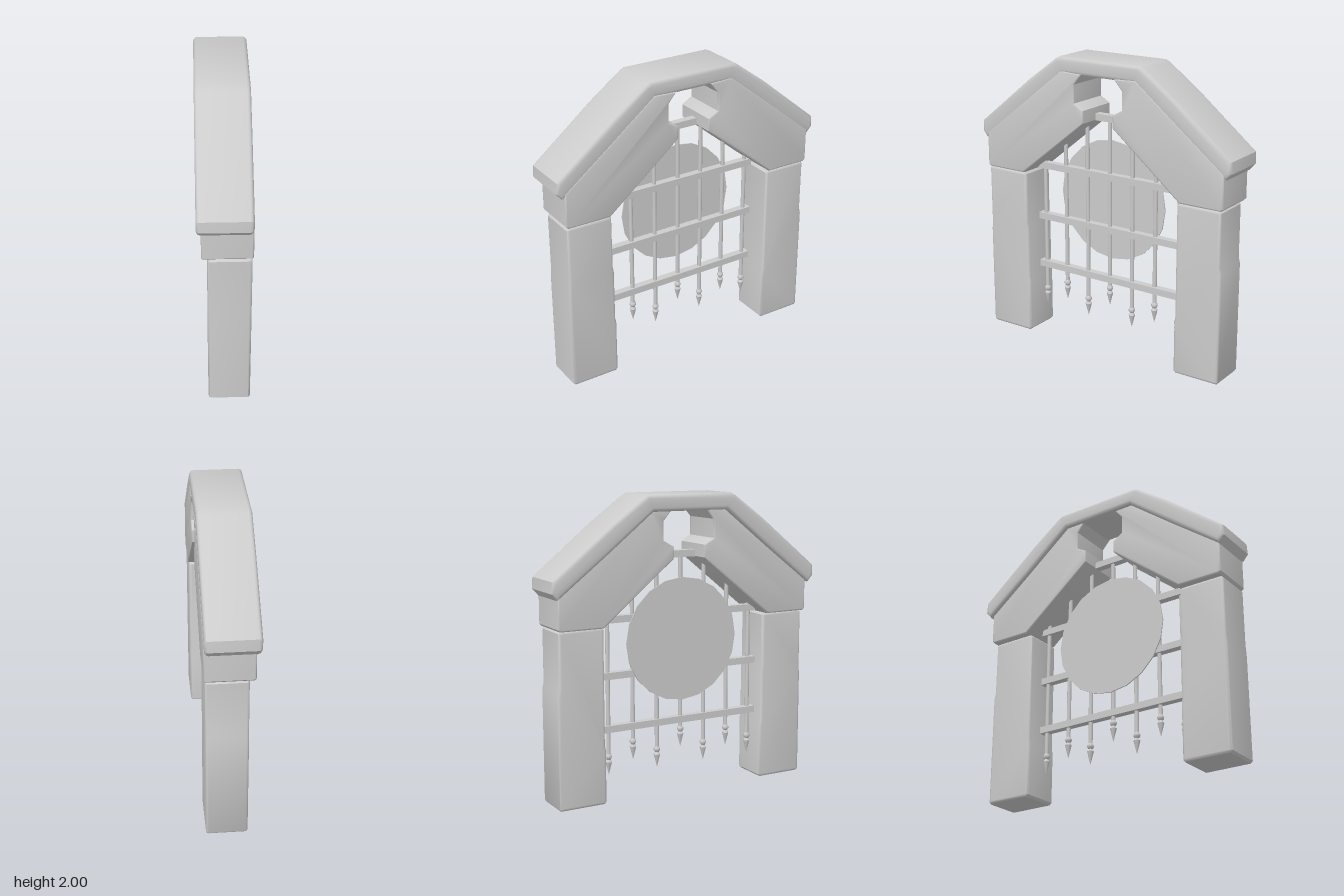
import * as THREE from 'three';
import { toCreasedNormals } from 'three/addons/utils/BufferGeometryUtils.js';

const stone = new THREE.MeshStandardMaterial({ color: 0xcccccc });
const metal = new THREE.MeshStandardMaterial({ color: 0xcccccc });

export function createModel() {
  const gate = new THREE.Group();
  gate.name = 'archGate';

  const add = (name, geometry, material, x = 0, y = 0, z = 0) => {
    const mesh = new THREE.Mesh(geometry, material);
    mesh.name = name;
    mesh.position.set(x, y, z);
    gate.add(mesh);
    return mesh;
  };

  // Bevelled stone slab: outline given as [z, y], thickness from x0 to x1
  const slab = (name, outline, x0, x1, bevel) => {
    const shape = new THREE.Shape(outline.map(([z, y]) => new THREE.Vector2(z, y)));
    const geo = new THREE.ExtrudeGeometry(shape, {
      depth: x1 - x0 - 2 * bevel,
      bevelThickness: bevel, bevelSize: bevel, bevelOffset: -bevel, bevelSegments: 3,
    });
    geo.rotateY(-Math.PI / 2);
    geo.translate(x1 - bevel, 0, 0);
    return add(name, toCreasedNormals(geo, 0.7), stone);
  };

  // Pillars with slightly worn edges
  slab('frontPillar', [
    [0.915, 0], [0.93, 0.015], [0.93, 0.7], [0.925, 0.78], [0.925, 1.155], [0.91, 1.17],
    [0.62, 1.17], [0.607, 1.155], [0.607, 0.8], [0.6, 0.77], [0.6, 0.41], [0.593, 0.38],
    [0.593, 0.015], [0.608, 0],
  ], -0.11, 0.16, 0.018);
  slab('backPillar', [
    [-0.915, 0], [-0.925, 0.015], [-0.925, 0.76], [-0.915, 0.8], [-0.915, 1.155], [-0.9, 1.17],
    [-0.615, 1.17], [-0.6, 1.155], [-0.6, 0.4], [-0.593, 0.36], [-0.593, 0.015], [-0.608, 0],
  ], -0.11, 0.16, 0.018);

  // Mirrored arch blocks with a notch facing the centre
  const block = [
    [0.93, 1.185], [0.915, 1.17], [0.62, 1.17], [0.115, 1.58], [0.115, 1.665], [0.185, 1.705],
    [0.185, 1.83], [0.125, 1.9], [0.29, 1.91], [0.93, 1.41],
  ];
  for (const [side, name] of [[1, 'frontArchBlock'], [-1, 'backArchBlock']])
    slab(name, block.map(([z, y]) => [z * side, y]), -0.148, 0.167, 0.012);

  // Roof cap following the gable
  const half = [
    [0.27, 1.89], [0.6, 1.63], [0.94, 1.37], [0.98, 1.415], [0.975, 1.49], [0.56, 1.825],
    [0.34, 1.985], [0.31, 2],
  ];
  slab('roofCap', [...half, ...half.map(([z, y]) => [-z, y]).reverse()], -0.177, 0.165, 0.025);

  // Horizontal grille rails: centre y, front z, back z
  for (const [y, z0, z1] of [[0.475, 0.6, -0.57], [0.83, 0.6, -0.57], [1.2, 0.6, -0.57], [1.6, 0.13, -0.13]])
    add('grilleRail', new THREE.BoxGeometry(0.05, 0.046, z0 - z1), metal, 0, y, (z0 + z1) / 2);

  // Vertical bars, each ending in a spear point: z, tip y, top y
  const spear = [[0, 0], [0.022, 0.09], [0.013, 0.106], [0.022, 0.12], [0.022, 0.132], [0.013, 0.148]]
    .map(([r, y]) => new THREE.Vector2(r, y));
  const bars = [
    [0.555, 0.16, 1.24], [0.378, 0.24, 1.4], [0.197, 0.16, 1.55], [0.016, 0.28, 1.6],
    [-0.165, 0.16, 1.57], [-0.346, 0.24, 1.42], [-0.527, 0.16, 1.26],
  ];
  for (const [z, tip, top] of bars) {
    const length = top - tip - 0.14;
    add('grilleBar', new THREE.CylinderGeometry(0.014, 0.014, length, 10), metal, 0, top - length / 2, z);
    add('spearPoint', toCreasedNormals(new THREE.LatheGeometry(spear, 10), 0.7), metal, 0, tip, z);
  }

  // Thin round plate behind the bars
  const disc = new THREE.CylinderGeometry(0.416, 0.416, 0.008, 20);
  disc.rotateZ(Math.PI / 2);
  add('roundPlate', toCreasedNormals(disc, 0.7), metal, -0.028, 1.03, 0.013);

  return gate;
}
